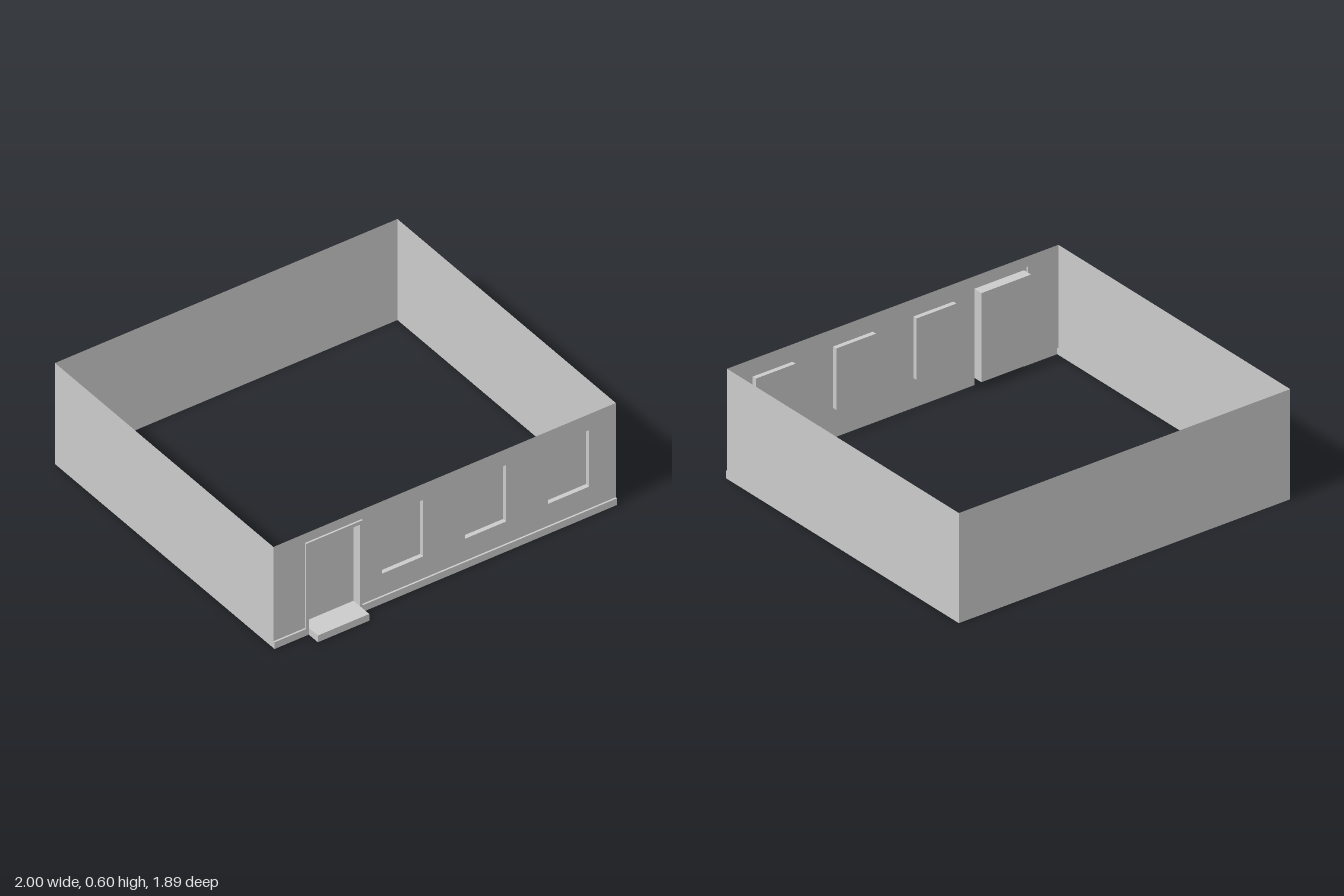
import * as THREE from 'three';

const material = new THREE.MeshStandardMaterial({ color: 0xcccccc, side: THREE.DoubleSide, flatShading: true });

const shapeOf = (pts) => new THREE.Shape(pts.map(([x, y]) => new THREE.Vector2(x, y)));
const rect = (x0, x1, y0, y1) => [[x0, y0], [x1, y0], [x1, y1], [x0, y1]];

export function createModel() {
  const model = new THREE.Group();
  model.name = 'building';

  const add = (name, geometry, parent = model) => {
    const mesh = new THREE.Mesh(geometry, material);
    mesh.name = name;
    parent.add(mesh);
    return mesh;
  };

  // Flat sheet facing the front, with optional openings
  const sheet = (name, pts, z, holes = [], parent = model) => {
    const shape = shapeOf(pts);
    holes.forEach((h) => shape.holes.push(shapeOf(h)));
    add(name, new THREE.ShapeGeometry(shape), parent).position.z = z;
  };

  // Strip that runs along an xy path and spans z0 to z1
  const ribbon = (name, pts, z0, z1, parent = model) => {
    const pos = [];
    for (let i = 0; i < pts.length - 1; i++) {
      const [ax, ay] = pts[i];
      const [bx, by] = pts[i + 1];
      pos.push(ax, ay, z0, ax, ay, z1, bx, by, z1, ax, ay, z0, bx, by, z1, bx, by, z0);
    }
    const g = new THREE.BufferGeometry();
    g.setAttribute('position', new THREE.Float32BufferAttribute(pos, 3));
    g.computeVertexNormals();
    add(name, g, parent);
  };

  const H = 0.6, back = -0.945, front = 0.86, trimZ = 0.87;
  const base = 0.04, doorZ = 0.815, stepZ = 0.945, paneZ = 0.835;
  const doorL = -0.8, doorR = -0.5, doorTop = 0.525;
  const trimL = -0.815, trimR = -0.485, trimTop = 0.545;
  const windows = [-0.245, 0.24, 0.725].map((x) => rect(x - 0.12, x + 0.12, 0.17, 0.505));

  // Side and back walls, open above and below
  ribbon('leftWall', [[1, 0], [1, H]], back, front);
  ribbon('rightWall', [[-1, 0], [-1, H]], back, front);
  sheet('backWall', rect(-1, 1, 0, H), back);

  // Front wall, cut away behind the plinth and door surround
  const trimEdge = [[-1, base], [trimL, base], [trimL, trimTop], [trimR, trimTop], [trimR, base], [1, base]];
  sheet('frontWall', [...trimEdge, [1, H], [-1, H]], front, windows);

  // Raised plinth and door surround
  const trim = new THREE.Group();
  trim.name = 'plinthAndDoorSurround';
  model.add(trim);
  sheet('trimFace', [[-1, 0], [doorL, 0], [doorL, doorTop], [doorR, doorTop], [doorR, 0], [1, 0],
    ...[...trimEdge].reverse()], trimZ, [], trim);
  ribbon('trimEdge', [[-1, 0], ...trimEdge, [1, 0]], front, trimZ, trim);

  // Recessed door
  const door = new THREE.Group();
  door.name = 'door';
  model.add(door);
  sheet('doorPanel', rect(doorL, doorR, base, doorTop), doorZ, [], door);
  ribbon('doorReveal', [[doorL, base], [doorL, doorTop], [doorR, doorTop], [doorR, base]], doorZ, trimZ, door);

  // Doorstep, hollow underneath
  const step = new THREE.Group();
  step.name = 'doorstep';
  model.add(step);
  ribbon('threshold', [[doorL, base], [doorR, base]], doorZ, trimZ, step);
  ribbon('stepTopAndSides', [[doorL, 0], [doorL, base], [doorR, base], [doorR, 0]], trimZ, stepZ, step);
  sheet('stepFront', rect(doorL, doorR, 0, base), stepZ, [], step);

  // Recessed windows
  windows.forEach((pts, i) => {
    const win = new THREE.Group();
    win.name = `window${i + 1}`;
    model.add(win);
    sheet('windowPane', pts, paneZ, [], win);
    ribbon('windowReveal', [...pts, pts[0]], paneZ, front, win);
  });

  return model;
}
